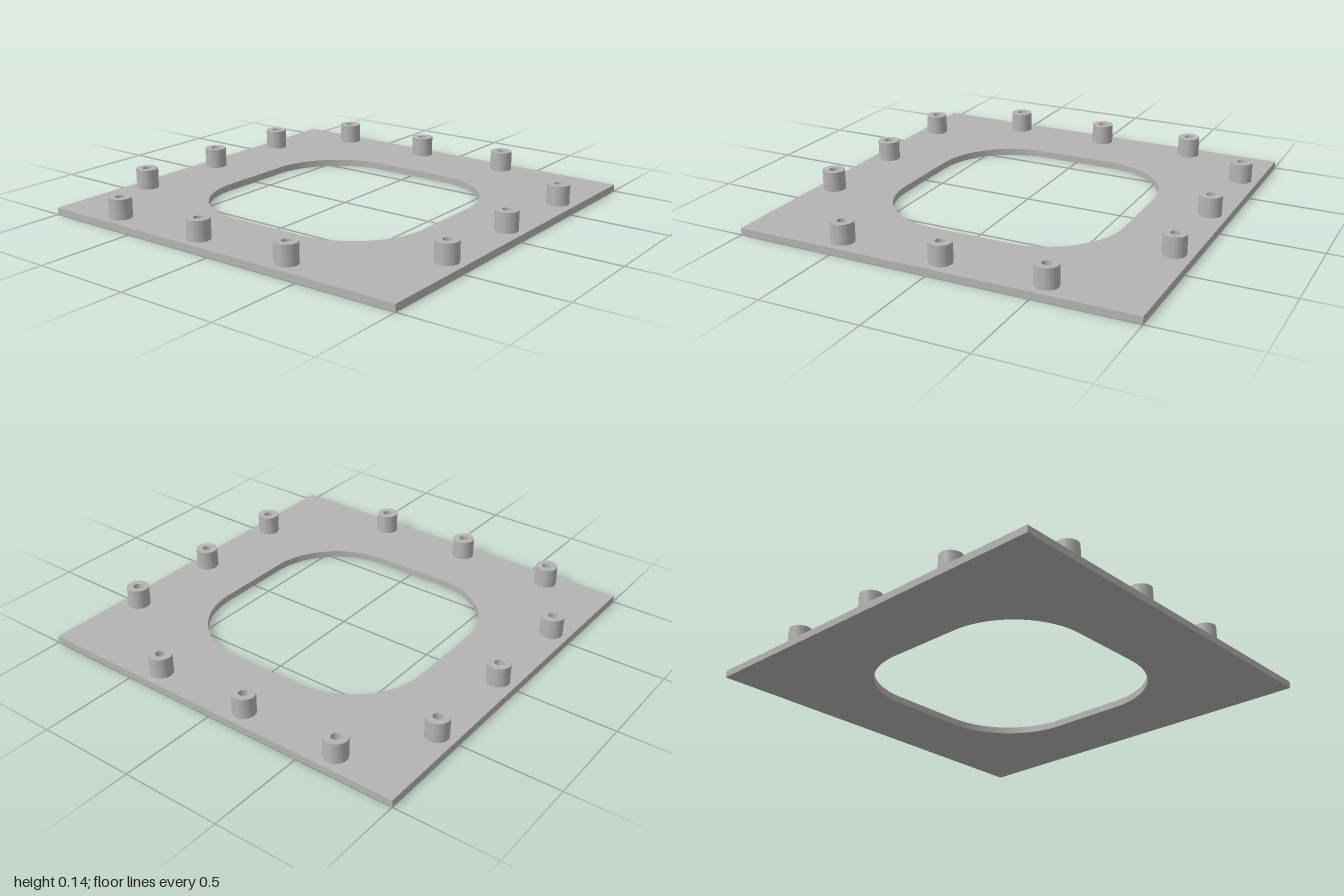
import * as THREE from 'three';
import { toCreasedNormals } from 'three/addons/utils/BufferGeometryUtils.js';

const PLATE = 0.035, TOP = 0.136;

// Extrude a flat outline upwards from y = 0, smooth on curved walls and sharp on edges
function extrudeUp(shape, depth, curveSegments) {
  const geometry = new THREE.ExtrudeGeometry(shape, { depth, curveSegments, bevelEnabled: false });
  geometry.rotateX(-Math.PI / 2);
  return toCreasedNormals(geometry, Math.PI / 6);
}

// Square opening of half-width h with corners of radius r
function roundedOpening(h, r) {
  const path = new THREE.Path();
  const c = h - r;
  path.moveTo(h, -c);
  path.absarc(c, c, r, 0, Math.PI / 2);
  path.absarc(-c, c, r, Math.PI / 2, Math.PI);
  path.absarc(-c, -c, r, Math.PI, Math.PI * 1.5);
  path.absarc(c, -c, r, Math.PI * 1.5, Math.PI * 2);
  return path;
}

export function createModel() {
  const model = new THREE.Group();
  model.name = 'mountingFrame';
  const grey = new THREE.MeshStandardMaterial({ color: 0xb4b4b4 });
  grey.name = 'grey';

  // Square base plate with the rounded opening
  const outline = new THREE.Shape();
  outline.moveTo(-1, -1).lineTo(1, -1).lineTo(1, 1).lineTo(-1, 1).closePath();
  outline.holes.push(roundedOpening(0.6, 0.4));
  const plate = new THREE.Mesh(extrudeUp(outline, PLATE, 16), grey);
  plate.name = 'basePlate';
  model.add(plate);

  // Hollow standoff, its bore ending on the plate
  const ring = new THREE.Shape().absarc(0, 0, 0.056, 0, Math.PI * 2);
  ring.holes.push(new THREE.Path().absarc(0, 0, 0.023, 0, Math.PI * 2, true));
  const standoffGeometry = extrudeUp(ring, TOP - PLATE, 20);

  function addStandoff(name, x, z) {
    const standoff = new THREE.Mesh(standoffGeometry, grey);
    standoff.name = name;
    standoff.position.set(x, PLATE, z);
    model.add(standoff);
  }

  // Three standoffs along each edge, spaced evenly
  for (let i = 0; i < 3; i++) {
    const x = -0.647 + i * 0.512;
    const z = -0.537 + i * 0.512;
    addStandoff(`backStandoff${i + 1}`, x, -0.91);
    addStandoff(`frontStandoff${i + 1}`, x, 0.91);
    addStandoff(`rightStandoff${i + 1}`, -0.91, z);
    addStandoff(`leftStandoff${i + 1}`, 0.91, z);
  }
  return model;
}
